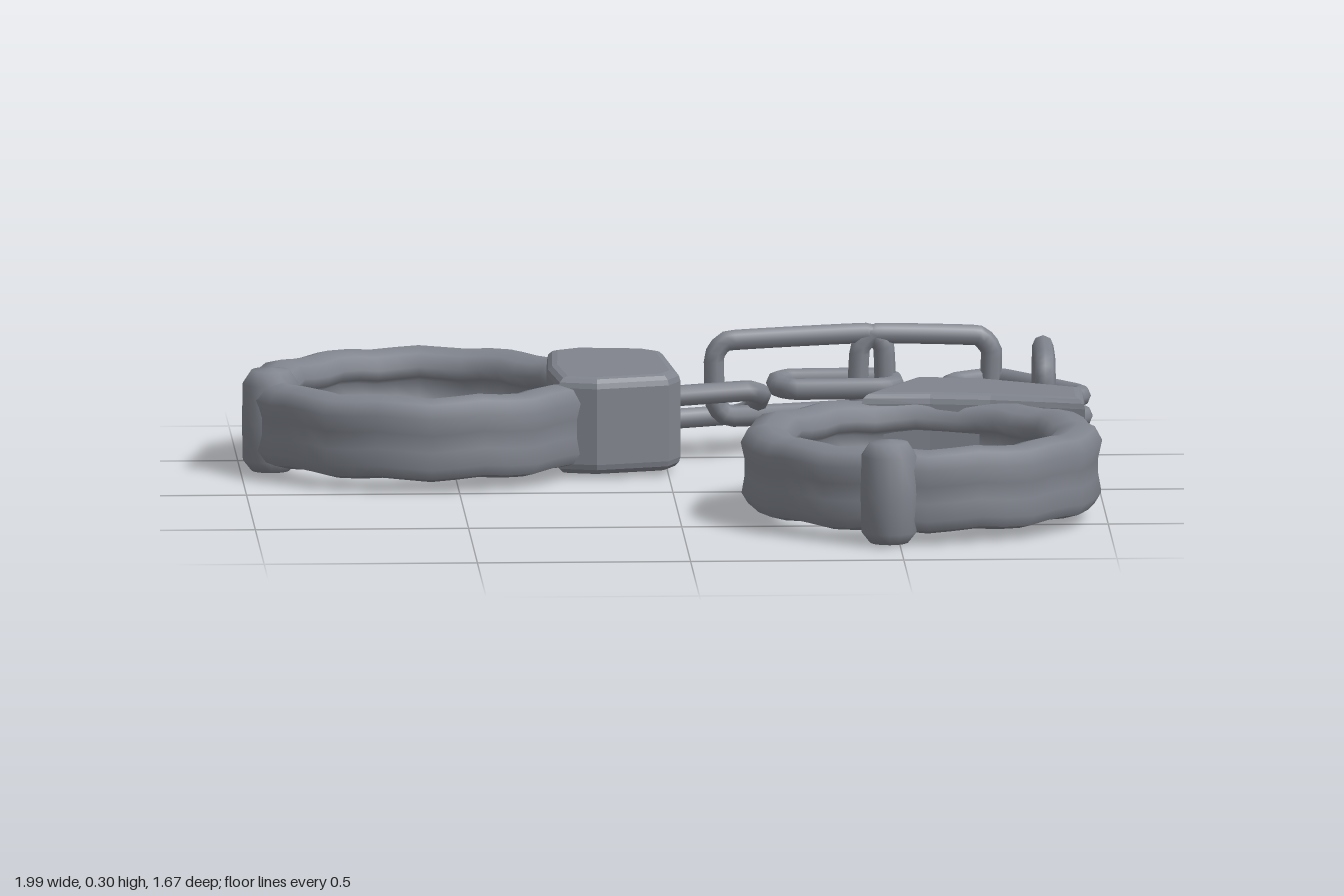
import * as THREE from 'three';

export function createModel() {
  const model = new THREE.Group();
  const steel = new THREE.MeshStandardMaterial({ color: 0x80848d });
  steel.name = 'steel grey';

  const add = (parent, geometry, name) => {
    const mesh = new THREE.Mesh(geometry, steel);
    mesh.name = name;
    parent.add(mesh);
    return mesh;
  };

  // Closed ring section (radius, height), grooved inside and out
  const ringSection = [
    [0.405, 0.035], [0.42, 0.06], [0.413, 0.1], [0.413, 0.14], [0.422, 0.18],
    [0.405, 0.212], [0.365, 0.222], [0.32, 0.21], [0.303, 0.18], [0.312, 0.155],
    [0.33, 0.145], [0.33, 0.1], [0.312, 0.09], [0.303, 0.065], [0.32, 0.035],
    [0.365, 0.024], [0.405, 0.035],
  ].map(([r, y]) => new THREE.Vector2(r, y));

  // Worn, slightly uneven ring surface
  function ringGeometry() {
    const g = new THREE.LatheGeometry(ringSection, 40);
    const p = g.attributes.position;
    for (let i = 0; i < p.count; i++) {
      const a = Math.atan2(p.getZ(i), p.getX(i));
      const k = 1 + 0.008 * Math.sin(9 * a) + 0.005 * Math.sin(14 * a + 1);
      p.setXYZ(i, p.getX(i) * k, p.getY(i) + 0.004 * Math.sin(11 * a), p.getZ(i) * k);
    }
    return g;
  }

  // Bevelled lock housing from its outline in x and z
  function lockGeometry(outline, bottom, top) {
    const bevel = 0.025;
    const shape = new THREE.Shape(outline.map(([x, z]) => new THREE.Vector2(x, -z)));
    const g = new THREE.ExtrudeGeometry(shape, {
      depth: top - bottom - 2 * bevel, bevelEnabled: true, bevelSize: bevel,
      bevelThickness: bevel, bevelOffset: -bevel, bevelSegments: 3,
    });
    g.rotateX(-Math.PI / 2);
    g.translate(0, bottom + bevel, 0);
    return g;
  }

  // Rounded knuckle of the hinge
  const hingeSection = [
    [0, 0], [0.045, 0.004], [0.066, 0.03], [0.068, 0.12], [0.066, 0.21], [0.045, 0.242], [0, 0.248],
  ].map(([r, y]) => new THREE.Vector2(r, y));

  function cuff(name, cx, cz, hinge, outline) {
    const group = new THREE.Group();
    group.name = name;
    add(group, ringGeometry(), 'ring').position.set(cx, 0, cz);
    add(group, new THREE.LatheGeometry(hingeSection, 14), 'hinge').position.set(hinge[0], 0, hinge[1]);
    add(group, lockGeometry(outline, 0.01, 0.24), 'lock');
    model.add(group);
  }

  cuff('rightCuff', -0.565, -0.415, [-0.93, -0.335], [
    [-0.27, -0.62], [-0.2, -0.665], [-0.04, -0.645], [0.005, -0.6], [0.03, -0.3],
    [0.0, -0.235], [-0.17, -0.185], [-0.26, -0.21], [-0.28, -0.4],
  ]);
  cuff('leftCuff', 0.567, 0.375, [0.475, 0.765], [
    [0.44, 0.05], [0.575, -0.21], [0.73, -0.185], [0.965, -0.04], [0.96, 0.15],
    [0.86, 0.12], [0.74, 0.085], [0.6, 0.06],
  ]);

  // Chain link between two end points; roll 0 lies flat, 90 degrees stands upright
  function link(name, start, end, width, roll) {
    const a = new THREE.Vector3(...start), b = new THREE.Vector3(...end);
    const dir = b.clone().sub(a).normalize();
    const flat = new THREE.Vector3(-dir.z, 0, dir.x).normalize();
    const side = flat.applyAxisAngle(dir, THREE.MathUtils.degToRad(roll));
    const half = a.distanceTo(b) / 2, w = width / 2, c = 0.035;
    const mid = a.add(b).multiplyScalar(0.5);
    const corners = [
      [half, -w + c], [half, w - c], [half - c, w], [-half + c, w],
      [-half, w - c], [-half, -w + c], [-half + c, -w], [half - c, -w],
    ];
    const points = corners.map(([u, v]) =>
      mid.clone().addScaledVector(dir, u).addScaledVector(side, v));
    const path = new THREE.CatmullRomCurve3(points, true, 'catmullrom', 0.15);
    add(chain, new THREE.TubeGeometry(path, 56, 0.025, 8, true), name);
  }

  const chain = new THREE.Group();
  chain.name = 'chain';
  model.add(chain);
  link('firstLink', [-0.04, 0.115, -0.5], [0.22, 0.125, -0.545], 0.17, -28);
  link('secondLink', [0.12, 0.18, -0.535], [0.52, 0.19, -0.59], 0.18, 90);
  link('thirdLink', [0.27, 0.16, -0.575], [0.54, 0.16, -0.585], 0.15, 0);
  link('fourthLink', [0.46, 0.19, -0.58], [0.77, 0.175, -0.622], 0.18, 90);
  link('fifthLink', [0.72, 0.16, -0.61], [0.925, 0.16, -0.33], 0.16, 0);
  link('sixthLink', [0.885, 0.19, -0.45], [0.88, 0.19, -0.175], 0.17, 90);
  link('seventhLink', [0.92, 0.14, -0.28], [0.77, 0.14, -0.08], 0.17, 0);

  return model;
}
